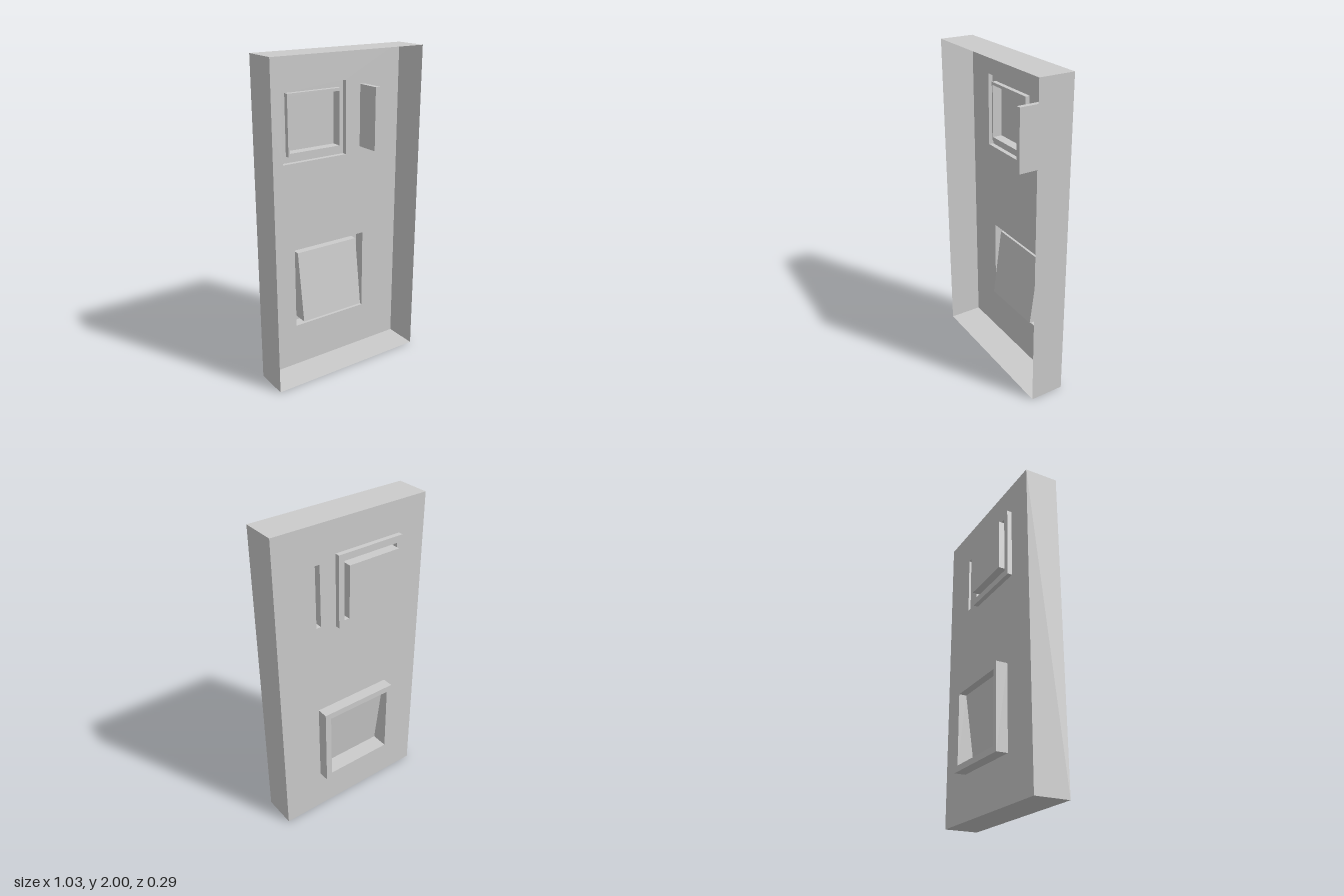
import * as THREE from 'three';

const material = new THREE.MeshStandardMaterial({ color: 0xcccccc, flatShading: true, side: THREE.DoubleSide });
const PANEL_Z = -0.072;

// Rectangles in the panel: [x0, x1, y0, y1]
const BODY = [-0.516, 0.516, 0, 2];
const UPPER_OUTER = [-0.33, 0.117, 1.35, 1.803];
const UPPER_INNER = [-0.291, 0.079, 1.391, 1.761];
const UPPER_BUTTON = [-0.28, 0.068, 1.412, 1.743];
const SLOT = [0.222, 0.253, 1.385, 1.77];
const LOWER_OUTER = [-0.263, 0.253, 0.278, 0.803];
const LOWER_INNER = [-0.228, 0.213, 0.315, 0.764];

// Corners of a rectangle, with its own depth at the bottom and top edges
const section = ([x0, x1, y0, y1], zBottom, zTop = zBottom) =>
  [[x0, y0, zBottom], [x1, y0, zBottom], [x1, y1, zTop], [x0, y1, zTop]];

// Thin sheet joining rectangular sections, optionally closed at the last one
function sheet(name, sections, closed) {
  const positions = [];
  const quad = (a, b, c, d) => positions.push(...a, ...b, ...c, ...a, ...c, ...d);
  for (let s = 0; s < sections.length - 1; s++) {
    const [p, q] = [sections[s], sections[s + 1]];
    for (let i = 0; i < 4; i++) {
      const j = (i + 1) % 4;
      quad(p[i], p[j], q[j], q[i]);
    }
  }
  if (closed) quad(...sections[sections.length - 1]);
  const geometry = new THREE.BufferGeometry();
  geometry.setAttribute('position', new THREE.Float32BufferAttribute(positions, 3));
  geometry.computeVertexNormals();
  const mesh = new THREE.Mesh(geometry, material);
  mesh.name = name;
  return mesh;
}

function outline(Type, rect) {
  return new Type(section(rect, 0).map(([x, y]) => new THREE.Vector2(x, y)));
}

export function createModel() {
  const model = new THREE.Group();
  model.name = 'panelHousing';

  // Flat panel with three openings
  const shape = outline(THREE.Shape, BODY);
  for (const rect of [UPPER_OUTER, SLOT, LOWER_OUTER]) shape.holes.push(outline(THREE.Path, rect));
  const panel = new THREE.Mesh(new THREE.ShapeGeometry(shape), material);
  panel.name = 'panel';
  panel.position.z = PANEL_Z;

  model.add(
    panel,
    // Four side walls, open at the front
    sheet('sideWalls', [section(BODY, PANEL_Z), section(BODY, 0.143)], false),
    // Raised frame, groove and button
    sheet('upperFrameAndButton', [
      section(UPPER_OUTER, PANEL_Z),
      section(UPPER_OUTER, -0.102),
      section(UPPER_INNER, -0.102),
      section(UPPER_INNER, PANEL_Z),
      section(UPPER_BUTTON, PANEL_Z),
      section(UPPER_BUTTON, -0.134),
    ], true),
    // Narrow pocket running into the housing
    sheet('slotPocket', [section(SLOT, PANEL_Z), section(SLOT, 0.08)], true),
    // Raised frame around a tray with a sloping back plate
    sheet('lowerTray', [
      section(LOWER_OUTER, PANEL_Z),
      section(LOWER_OUTER, -0.143),
      section(LOWER_INNER, -0.143),
      section(LOWER_INNER, -0.035, -0.095),
    ], true),
  );
  return model;
}
